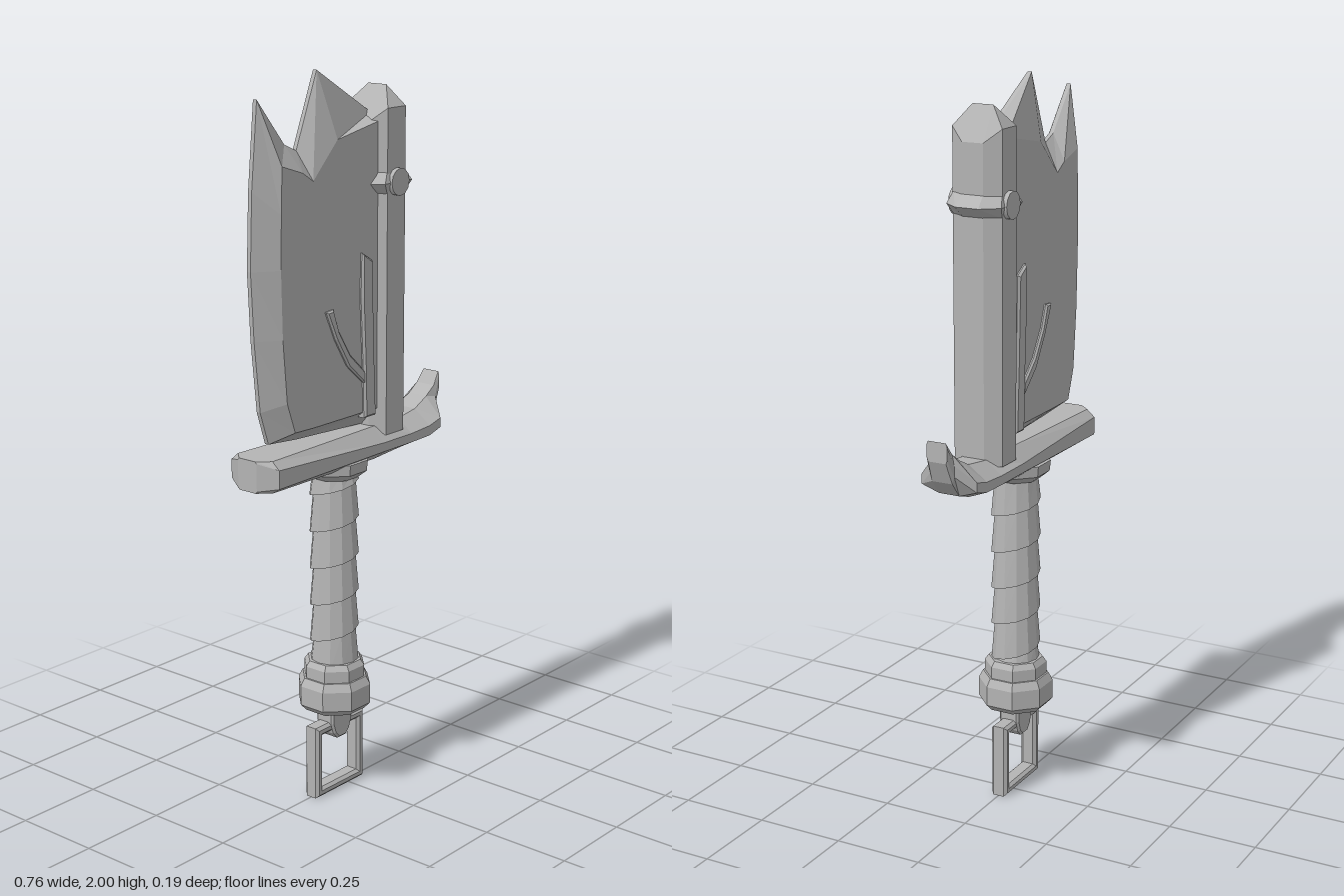
import * as THREE from 'three';

const steel = new THREE.MeshStandardMaterial({ color: 0xb4b4b4, side: THREE.DoubleSide });
steel.name = 'grey steel';

// Flat-shaded skin through a list of point loops; flat(p) projects the end caps to 2D.
function loft(loops, flat = null, closed = true) {
  const tris = [];
  const n = loops[0].length;
  for (let i = 0; i < loops.length - 1; i++) {
    for (let j = 0; j < (closed ? n : n - 1); j++) {
      const k = (j + 1) % n;
      const [a, b, c, d] = [loops[i][j], loops[i][k], loops[i + 1][k], loops[i + 1][j]];
      tris.push([a, b, c], [a, c, d]);
    }
  }
  if (flat) {
    [loops[0], loops[loops.length - 1]].forEach((loop, end) => {
      const pts = loop.map((p) => new THREE.Vector2(...flat(p)));
      const sign = Math.sign(THREE.ShapeUtils.area(pts));
      for (const [a, b, c] of THREE.ShapeUtils.triangulateShape(pts, [])) {
        const same = Math.sign(THREE.ShapeUtils.area([pts[a], pts[b], pts[c]])) === sign;
        const t = [loop[a], loop[b], loop[c]];
        tris.push(same === (end === 1) ? t : t.reverse());
      }
    });
  }
  // Drop empty triangles and turn the skin outwards
  let volume = 0;
  const kept = tris.map((t) => t.map((p) => new THREE.Vector3(...p))).filter(([a, b, c]) => {
    volume += a.dot(b.clone().cross(c));
    return b.clone().sub(a).cross(c.clone().sub(a)).length() > 1e-9;
  });
  if (volume < 0) kept.forEach((t) => t.reverse());
  const geo = new THREE.BufferGeometry().setFromPoints(kept.flat());
  geo.computeVertexNormals();
  return geo;
}

function extrude(points, half, bevel, hole = null) {
  const toV = (p) => new THREE.Vector2(...p);
  const shape = new THREE.Shape(points.map(toV));
  if (hole) shape.holes.push(new THREE.Path(hole.map(toV)));
  const geo = new THREE.ExtrudeGeometry(shape, {
    depth: 2 * (half - bevel), bevelEnabled: bevel > 0, bevelSize: bevel,
    bevelThickness: bevel, bevelOffset: -bevel, bevelSegments: 1,
  });
  return geo.translate(0, 0, -(half - bevel));
}

const rect = (x0, y0, x1, y1) => [[x0, y0], [x1, y0], [x1, y1], [x0, y1]];

export function createModel() {
  const model = new THREE.Group();
  model.name = 'brokenSword';
  const add = (name, geo) => {
    const mesh = new THREE.Mesh(geo, steel);
    mesh.name = name;
    model.add(mesh);
    return mesh;
  };

  // Blade: thin cutting outline and a thicker inner face, [outerX, outerY, innerX, innerY]
  const edge = [
    [0.1, 1.035, 0.1, 1.085], [-0.2, 1.05, -0.18, 1.085], [-0.31, 1.06, -0.255, 1.087],
    [-0.34, 1.15, -0.285, 1.17], [-0.36, 1.34, -0.3, 1.34], [-0.37, 1.52, -0.305, 1.52],
    [-0.362, 1.72, -0.302, 1.66], [-0.34, 1.945, -0.298, 1.78], [-0.24, 1.825, -0.22, 1.755],
    [-0.195, 1.805, -0.18, 1.73], [-0.115, 2.0, -0.085, 1.825], [0.1, 1.875, 0.1, 1.715],
  ];
  edge[11] = [0.1, 1.875, 0.1, 1.86];
  const outer = (z) => edge.map((e) => [e[0], e[1], z]);
  const inner = (z) => edge.map((e) => [e[2], e[3], z]);
  add('blade', loft([inner(0.05), outer(0.006), outer(-0.006), inner(-0.05)], (p) => [p[0], p[1]]));

  // Raised stem and branch on both blade faces
  add('bladeStem', extrude([[0.018, 1.07], [0.066, 1.07], [0.058, 1.25], [0.05, 1.495],
    [0.008, 1.52], [0.005, 1.4], [0.014, 1.22]], 0.06, 0.006));
  add('bladeBranch', extrude([[0.02, 1.165], [-0.05, 1.225], [-0.1, 1.305], [-0.137, 1.385],
    [-0.108, 1.388], [-0.085, 1.325], [-0.04, 1.255], [0.02, 1.2]], 0.059, 0.005));

  // Eight-sided post behind the blade, ending in a short ridge
  const cx = 0.128;
  const octagon = (y, w, d, dip = 0) => [[1, 0.42], [0.6, 1], [-0.6, 1], [-1, 0.42],
    [-1, -0.42], [-0.6, -1], [0.6, -1], [1, -0.42]].map(([u, v]) =>
    [cx + u * w, y - (Math.abs(u) === 1 ? dip : 0), v * d]);
  const ridge = octagon(1.945, 0, 0).map((p, i) => [0.135, 1.945, i < 4 ? 0.03 : -0.03]);
  add('post', loft([octagon(1.01, 0.062, 0.072), octagon(1.89, 0.062, 0.072, 0.035), ridge]));

  // Pointed band with a round stud at front and back
  add('postBand', loft([octagon(1.665, 0.06, 0.07), octagon(1.695, 0.094, 0.08),
    octagon(1.725, 0.06, 0.07)]));
  add('bandStuds', new THREE.CylinderGeometry(0.037, 0.037, 0.17, 12)
    .rotateX(Math.PI / 2).translate(0.13, 1.695, 0).toNonIndexed());

  // Guard sections: x, top, upper side, lower side, bottom, half width on top, half width at side
  const guard = [
    [-0.385, 1.035, 1.03, 0.955, 0.95, 0.028, 0.032],
    [-0.355, 1.035, 1.015, 0.965, 0.95, 0.06, 0.083],
    [0.07, 1.035, 0.995, 0.97, 0.942, 0.045, 0.083],
    [0.19, 1.03, 0.995, 0.97, 0.945, 0.035, 0.083],
    [0.27, 1.04, 1.0, 0.972, 0.952, 0.03, 0.083],
    [0.32, 1.065, 1.012, 0.985, 0.968, 0.03, 0.082],
    [0.355, 1.09, 1.06, 1.03, 1.01, 0.03, 0.036],
    [0.38, 1.125, 1.115, 1.08, 1.07, 0.026, 0.03],
  ];
  add('guard', loft(guard.map(([x, t, u, l, b, tw, sw]) => [
    [x, t, tw], [x, u, sw], [x, l, sw], [x, b, tw],
    [x, b, -tw], [x, l, -sw], [x, u, -sw], [x, t, -tw],
  ]), (p) => [p[2], p[1]]));

  // Eight-sided turned pieces on the handle axis, radii measured to the flats
  const axis = -0.042;
  const turned = (name, profile) => {
    const pts = profile.map(([r, y]) => new THREE.Vector2(r / Math.cos(Math.PI / 8), y));
    const geo = new THREE.LatheGeometry(pts, 8, Math.PI / 8).toNonIndexed();
    geo.computeVertexNormals();
    add(name, geo).position.x = axis;
  };
  turned('gripCollar', [[0, 0.915], [0.062, 0.915], [0.085, 0.935], [0.088, 0.965], [0, 0.965]]);
  turned('pommelCollar', [[0, 0.335], [0.08, 0.335], [0.08, 0.375], [0.07, 0.39], [0, 0.39]]);
  turned('pommel', [[0, 0.247], [0.08, 0.247], [0.096, 0.265], [0.096, 0.32], [0.085, 0.342],
    [0, 0.342]]);

  // Grip: one strap wound upwards, each turn overlapping the next with a small step
  const sides = 12;
  const pitch = 0.105;
  const strap = [];
  for (let s = -sides; s <= 6 * sides; s++) {
    const a = (s / sides) * Math.PI * 2;
    const y = 0.375 + (s / sides) * pitch;
    const at = (r, h) => [axis + r * Math.sin(a), Math.min(0.93, Math.max(0.37, h)), r * Math.cos(a)];
    strap.push([at(0.068, y), at(0.059, y + pitch), at(0.068, y + pitch)]);
  }
  add('gripWrap', loft(strap, null, false));

  // Hanger below the pommel, holding a square ring
  add('hanger', extrude([[-0.085, 0.26], [-0.085, 0.205], [-0.075, 0.175], [-0.058, 0.157],
    [-0.026, 0.157], [-0.009, 0.175], [0.001, 0.205], [0.001, 0.26]], 0.03, 0.006));
  add('squareRing', extrude(rect(-0.142, 0, 0.06, 0.21), 0.024, 0.008,
    rect(-0.115, 0.027, 0.033, 0.183)));

  return model;
}
